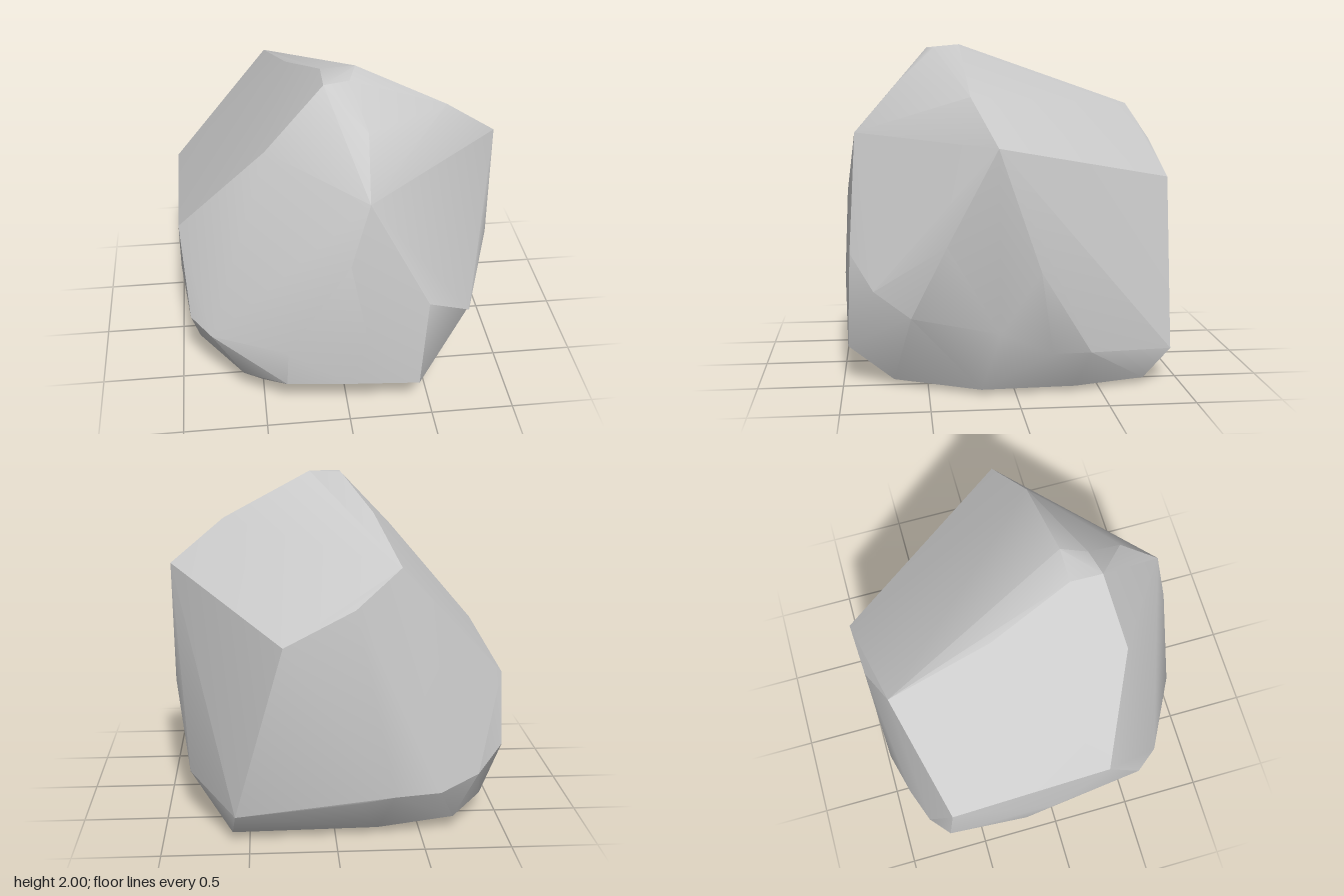
import * as THREE from 'three';
import { ConvexGeometry } from 'three/addons/geometries/ConvexGeometry.js';
import { toCreasedNormals } from 'three/addons/utils/BufferGeometryUtils.js';

// Corners of the boulder, [x, y, z], grouped by region
const crown = [
  [-0.1, 1.98, 0.47], [0.05, 1.98, 0.43], [0.1, 2, 0.28], [-0.1, 1.99, 0.28],
  [0.65, 1.71, 0.25], [-0.26, 1.81, -0.22], [-0.36, 1.61, -0.85],
];
const shoulders = [
  [0.98, 1.45, 0.12], [0.13, 1.77, 0.66], [0.11, 1.47, 0.92], [-0.44, 1.62, 0.54],
  [-0.96, 1.02, 0.32], [-0.97, 0.95, -0.67], [-0.1, 1.4, -0.95], [0.3, 1.2, -0.98],
];
const sides = [
  // front
  [0, 1.1, 0.97], [0.1, 0.6, 0.99], [-0.36, 0.5, 0.95], [-0.8, 0.48, 0.72],
  [-0.92, 0.52, 0.57], [0.46, 0.79, 0.95], [0.78, 0.47, 0.6],
  // right flank
  [0.9, 0.9, 0.4], [0.95, 0.76, -0.12], [0.9, 0.4, 0.1],
  // left flank and back
  [-0.98, 0.5, 0], [-0.98, 0.52, -0.71], [-0.83, 0.38, -0.82], [-0.6, 0.3, -0.9],
  [-0.33, 0.31, -0.97],
];
const foot = [
  // upper rim of the bevel round the base
  [0.42, 0.22, 0.97], [0, 0.26, 0.98], [-0.37, 0.25, 0.93], [-0.62, 0.18, 0.72],
  [-0.88, 0.2, 0.35], [-0.97, 0.28, -0.2], [0.58, 0.2, -0.95], [-0.12, 0.27, -0.96],
  [0.87, 0.27, -0.2], [0.86, 0.27, -0.42],
  // underside
  [0.6, 0.03, -0.78], [0.6, 0.07, -0.79], [0.72, 0.03, -0.35], [0.74, 0.03, 0.2],
  [0.49, 0.03, 0.7], [0, 0.02, 0.7], [-0.5, 0.03, 0.62], [-0.75, 0.07, 0.25],
  [-0.9, 0.12, -0.5], [-0.7, 0.08, -0.74], [-0.25, 0.04, -0.78], [0, 0, 0],
];

// Overhanging lip on the front, with its last corner buried in the body
const brow = [
  [0.98, 1.45, 0.12], [0.11, 1.47, 0.92], [0.9, 0.9, 0.4], [0.46, 0.79, 0.95],
  [0.73, 0.62, 0.81], [0.78, 0.47, 0.6], [0.3, 0.8, 0.3],
];

const material = new THREE.MeshStandardMaterial({ color: 0xcccccc });

// Stretch a skin over the corners; soften shallow edges, keep the chipped ones crisp
function chunk(name, corners) {
  const hull = new ConvexGeometry(corners.map((p) => new THREE.Vector3(...p)));
  const mesh = new THREE.Mesh(toCreasedNormals(hull, THREE.MathUtils.degToRad(30)), material);
  mesh.name = name;
  return mesh;
}

export function createModel() {
  const group = new THREE.Group();
  group.name = 'boulder';
  group.add(
    chunk('rockBody', [...crown, ...shoulders, ...sides, ...foot]),
    chunk('rockBrow', brow),
  );
  return group;
}
